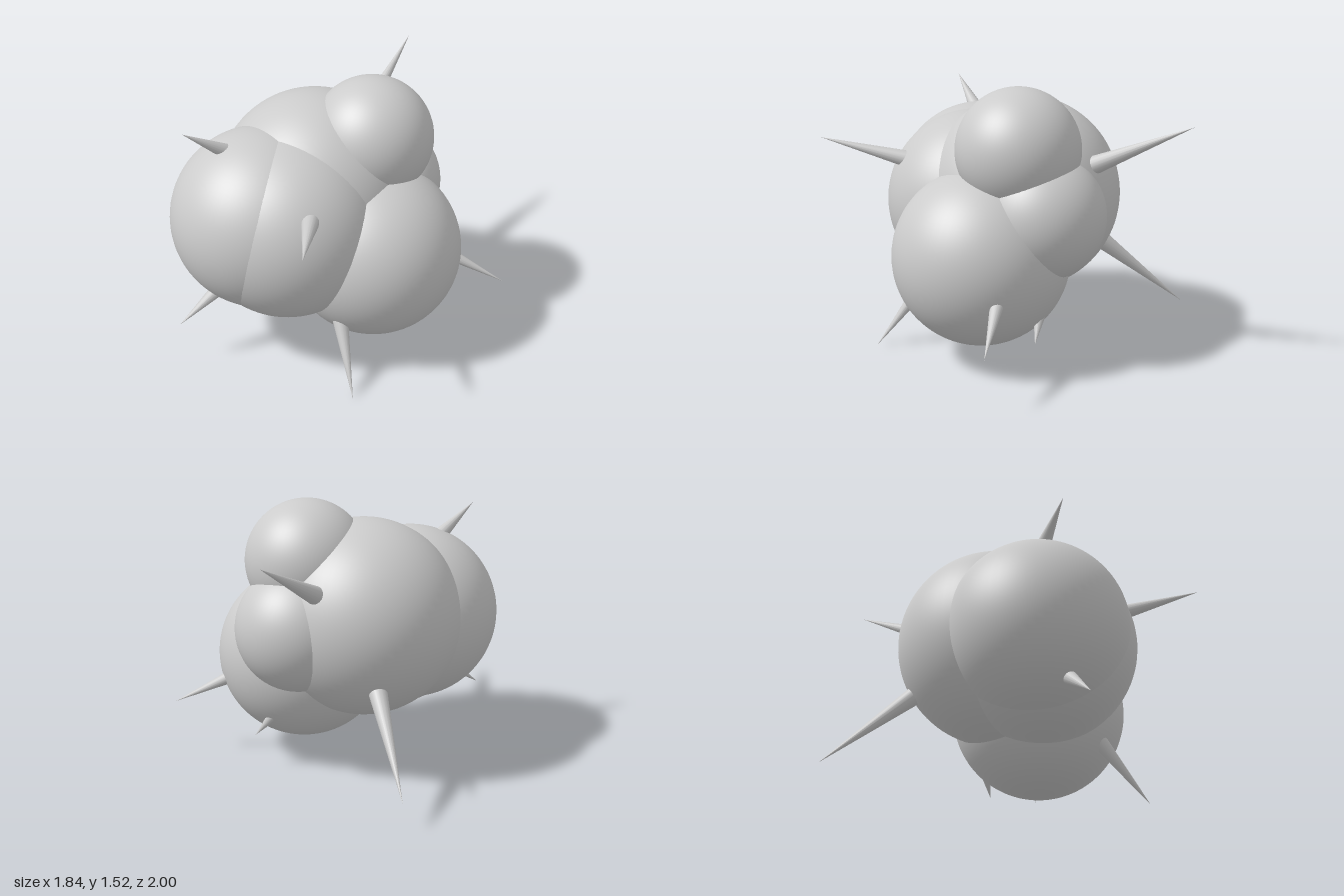
import * as THREE from 'three';

const V = (p) => new THREE.Vector3(...p);

export function createModel() {
  const model = new THREE.Group();
  const material = new THREE.MeshStandardMaterial({ color: 0xcccccc });

  // Overlapping round lobes: name, centre, radius
  const lobes = [
    ['leftLobe', [-0.4, 0.81, 0.07], 0.5],
    ['leftFrontLobe', [-0.27, 0.78, 0.13], 0.52],
    ['backLobe', [-0.05, 0.86, -0.07], 0.55],
    ['frontLobe', [0.19, 0.59, 0.24], 0.49],
    ['topLobe', [0.24, 1.18, 0.045], 0.34],
    ['sideLobe', [0.33, 0.83, -0.06], 0.35],
  ];
  for (const [name, centre, radius] of lobes) {
    const lobe = new THREE.Mesh(new THREE.SphereGeometry(radius, 64, 48), material);
    lobe.name = name;
    lobe.position.set(...centre);
    model.add(lobe);
  }

  // Thin spikes: name, root on the surface, tip, radius at the root
  const spikes = [
    ['frontSpike', [-0.28, 1.05, 0.57], [-0.45, 1.16, 1.0], 0.045],
    ['upperSideSpike', [-0.6, 1.26, 0.06], [-0.81, 1.41, 0.1], 0.037],
    ['lowerSideSpike', [-0.7, 0.42, 0.15], [-0.92, 0.26, 0.18], 0.037],
    ['lowerFrontSpike', [-0.095, 0.29, 0.55], [-0.11, 0.0, 0.78], 0.037],
    ['rightSpike', [0.67, 0.45, 0.3], [0.92, 0.31, 0.43], 0.032],
    ['smallSpike', [0.51, 0.26, 0.02], [0.56, 0.19, 0.05], 0.018],
    ['lowerBackSpike', [0.055, 0.56, -0.52], [0.13, 0.16, -1.0], 0.05],
    ['upperBackSpike', [0.35, 1.1, -0.36], [0.76, 1.37, -0.73], 0.05],
  ];
  const inset = 0.08; // depth each spike continues inside its lobe
  for (const [name, root, tip, radius] of spikes) {
    const axis = V(tip).sub(V(root));
    const visible = axis.length();
    const length = visible + inset;
    axis.normalize();
    const cone = new THREE.ConeGeometry((radius * length) / visible, length, 16);
    cone.translate(0, -length / 2, 0); // apex at the origin
    const spike = new THREE.Mesh(cone, material);
    spike.name = name;
    spike.position.set(...tip);
    spike.quaternion.setFromUnitVectors(new THREE.Vector3(0, 1, 0), axis);
    model.add(spike);
  }
  return model;
}
